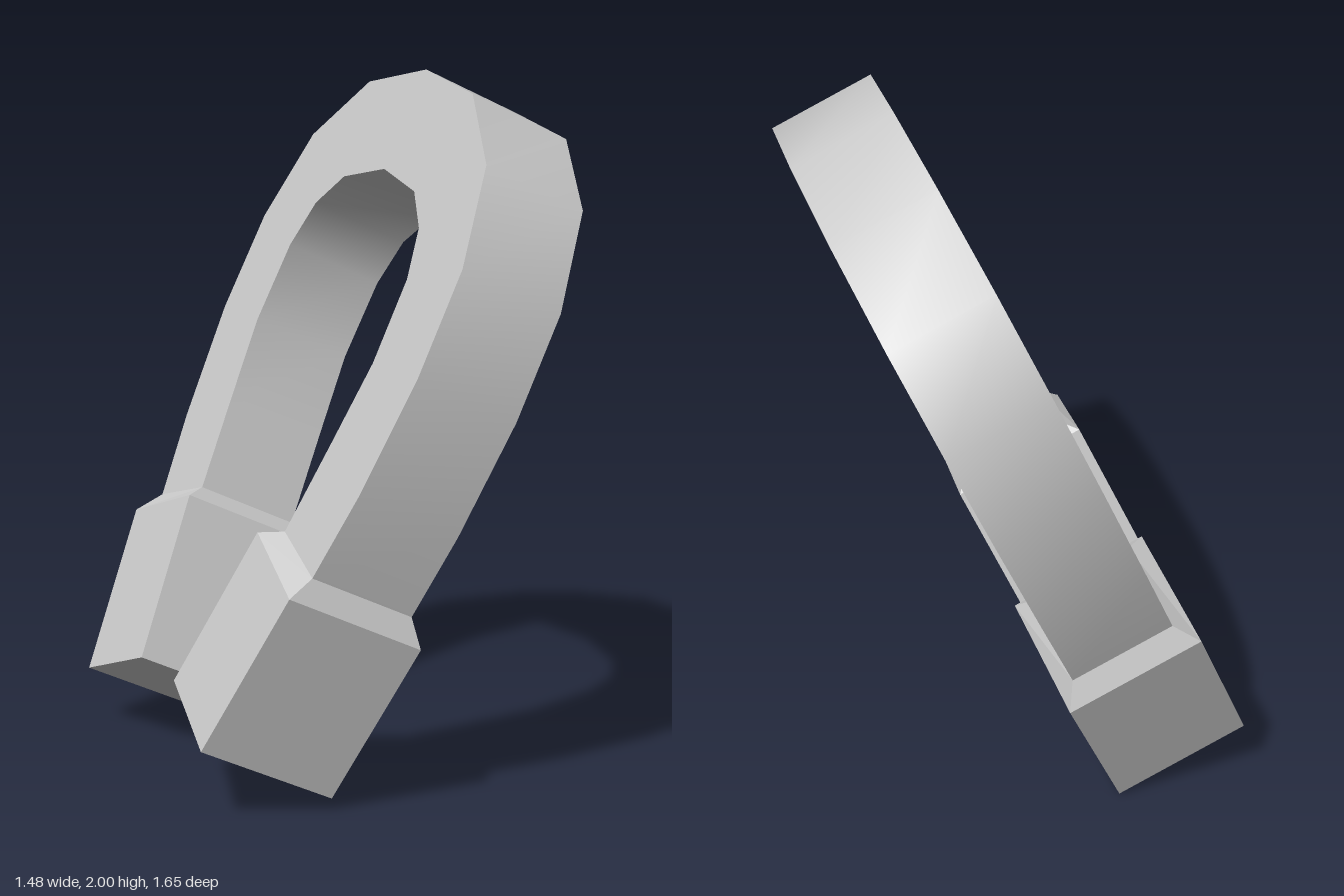
import * as THREE from 'three';
import { toCreasedNormals } from 'three/addons/utils/BufferGeometryUtils.js';

// Half profile, apex first: [outerU, outerV, innerU, innerV]
const ARCH = [
  [0, 0.846, 0, 0.535],
  [0.39, 0.79, 0.275, 0.489],
  [0.668, 0.599, 0.409, 0.392],
  [0.79, 0.313, 0.473, 0.247],
  [0.80, 0, 0.482, 0],
  [0.74, -0.352, 0.43, -0.242],
  [0.665, -0.604, 0.365, -0.527],
];
const HALF = 0.157; // half thickness of the bar
const CAP_HALF = 0.207; // half thickness of the pole caps

// Slight lean of the lower legs
function lean(u, v) {
  const k = Math.max(0, -v);
  return [u + 0.016 * k, v + 0.03 * u * k];
}

// Four corners of one cross-section; side is +1 or -1
function section([ou, ov, iu, iv], side, half) {
  const o = lean(ou * side, ov);
  const i = lean(iu * side, iv);
  return [[...o, half], [...o, -half], [...i, -half], [...i, half]];
}

// Closed skin over a list of four-cornered sections
function loft(rows) {
  const pos = [];
  const quad = (a, b, c, d) => pos.push(...a, ...b, ...c, ...a, ...c, ...d);
  for (let r = 0; r < rows.length - 1; r++) {
    const a = rows[r], b = rows[r + 1];
    for (let i = 0; i < 4; i++) {
      const j = (i + 1) % 4;
      quad(a[i], a[j], b[j], b[i]);
    }
  }
  const first = rows[0], last = rows[rows.length - 1];
  quad(first[3], first[2], first[1], first[0]);
  quad(last[0], last[1], last[2], last[3]);
  const geo = new THREE.BufferGeometry();
  geo.setAttribute('position', new THREE.Float32BufferAttribute(pos, 3));
  geo.computeVertexNormals();
  return geo;
}

export function createModel() {
  const model = new THREE.Group();
  model.name = 'horseshoeMagnet';

  // Curved bar: up the left leg, over the apex, down the other
  const rows = [
    ...ARCH.slice().reverse().map((p) => section(p, 1, HALF)),
    ...ARCH.slice(1).map((p) => section(p, -1, HALF)),
  ];
  const bar = new THREE.Mesh(
    toCreasedNormals(loft(rows), 0.75),
    new THREE.MeshStandardMaterial({ color: 0xcccccc })
  );
  bar.name = 'curvedBar';
  model.add(bar);

  // Pole caps: short bevel, then a square block
  const capMaterial = new THREE.MeshStandardMaterial({ color: 0xcccccc, flatShading: true });
  for (const side of [1, -1]) {
    const capRows = [
      section([0.536, -1.165, 0.153, -1.045], side, CAP_HALF),
      section([0.693, -0.678, 0.305, -0.56], side, CAP_HALF),
      section(ARCH[ARCH.length - 1], side, HALF),
    ];
    if (side < 0) capRows.reverse();
    const cap = new THREE.Mesh(loft(capRows), capMaterial);
    cap.name = side > 0 ? 'frontPoleCap' : 'backPoleCap';
    model.add(cap);
  }

  // Lean the whole magnet over
  const u = new THREE.Vector3(-0.425, 0, 0.905).normalize();
  const w = new THREE.Vector3(-0.826, 0.418, -0.387);
  w.addScaledVector(u, -w.dot(u)).normalize();
  const v = new THREE.Vector3().crossVectors(w, u);
  model.setRotationFromMatrix(new THREE.Matrix4().makeBasis(u, v, w));
  model.position.set(0.09, 1.166, -0.005);

  const root = new THREE.Group();
  root.name = 'magnet';
  root.add(model);
  return root;
}
